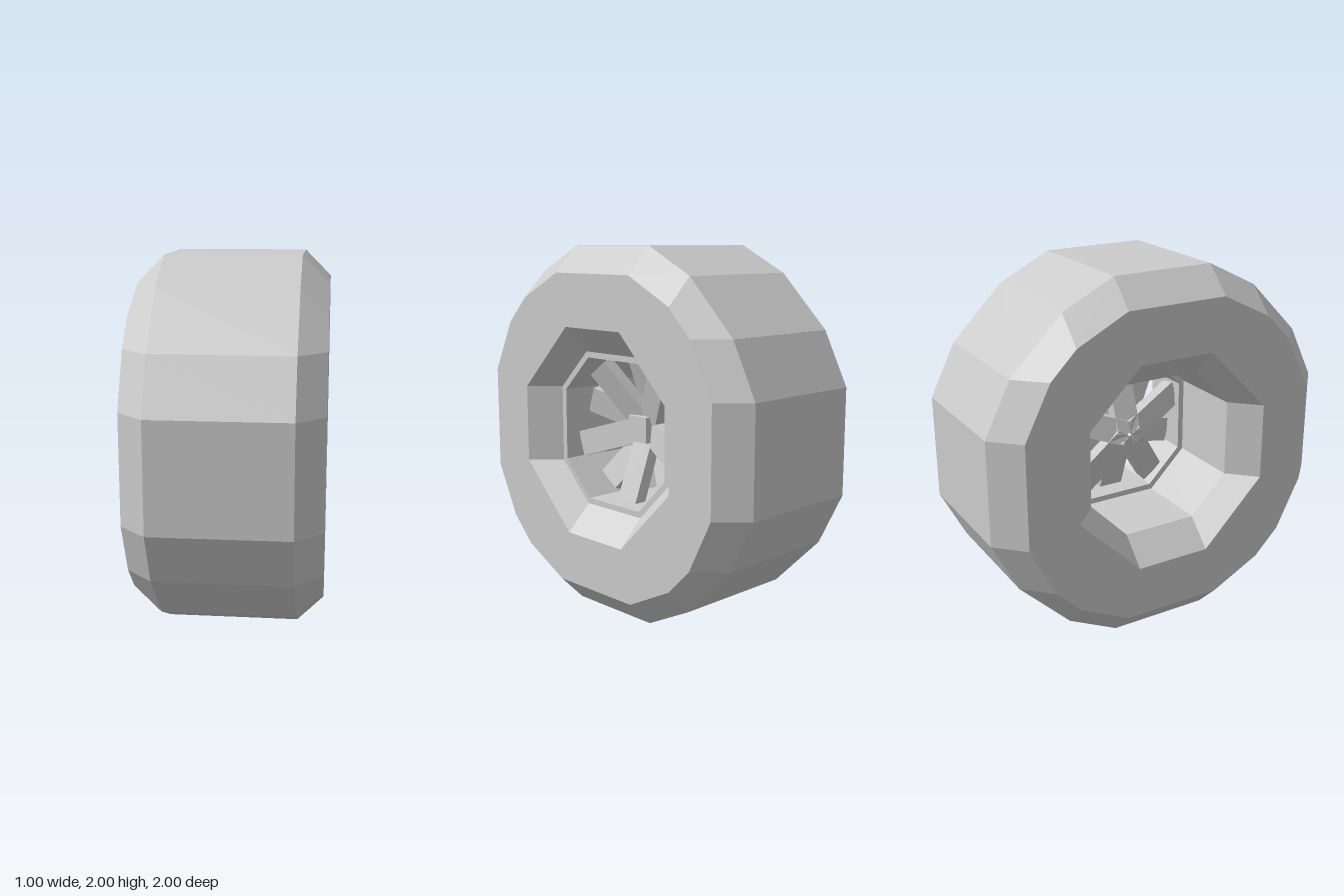
import * as THREE from 'three';

const material = new THREE.MeshStandardMaterial({ color: 0xcccccc, flatShading: true });

// Mirror one quadrant of points into a full counter-clockwise outline
function outline(quadrant) {
  const back = [...quadrant].reverse();
  return [
    ...quadrant,
    ...back.map(([x, y]) => [-x, y]),
    ...quadrant.map(([x, y]) => [-x, -y]),
    ...back.map(([x, y]) => [x, -y]),
  ];
}

// Skin successive outlines; each ring is [outline, z]
function loft(rings) {
  const positions = [];
  for (let r = 0; r < rings.length - 1; r++) {
    const [a, za] = rings[r];
    const [b, zb] = rings[r + 1];
    for (let i = 0; i < a.length; i++) {
      const j = (i + 1) % a.length;
      const a0 = [...a[i], za], a1 = [...a[j], za];
      const b0 = [...b[i], zb], b1 = [...b[j], zb];
      positions.push(...a0, ...a1, ...b1, ...a0, ...b1, ...b0);
    }
  }
  const geometry = new THREE.BufferGeometry();
  geometry.setAttribute('position', new THREE.Float32BufferAttribute(positions, 3));
  geometry.computeVertexNormals();
  return geometry;
}

function addMesh(parent, name, geometry) {
  const mesh = new THREE.Mesh(geometry, material);
  mesh.name = name;
  parent.add(mesh);
  return mesh;
}

export function createModel() {
  const model = new THREE.Group();
  model.name = 'wheel';

  // Built around the z axis, then turned so the axle lies along x
  const wheel = new THREE.Group();
  wheel.name = 'wheelAssembly';
  wheel.rotation.y = Math.PI / 2;
  wheel.position.y = 1;
  model.add(wheel);

  const tread = outline([[1, 0.286], [0.857, 0.571], [0.571, 0.857], [0.286, 1]]);
  const side = outline([[0.857, 0.286], [0.714, 0.571], [0.571, 0.714], [0.286, 0.857]]);
  const opening = outline([[0.571, 0.214], [0.214, 0.571]]);
  const bore = outline([[0.429, 0.214], [0.214, 0.429]]);
  const rimInner = outline([[0.397, 0.2], [0.2, 0.397]]);
  const half = 0.5, shoulder = 0.357;

  // Tyre: chamfered tread and the bore through it
  addMesh(wheel, 'tread', loft([[side, -half], [tread, -shoulder], [tread, shoulder], [side, half]]));
  addMesh(wheel, 'tyreBore', loft([[opening, half], [bore, shoulder], [bore, -shoulder], [opening, -half]]));

  // Flat sidewalls with an octagonal opening
  const toVectors = (points) => points.map(([x, y]) => new THREE.Vector2(x, y));
  const wallShape = new THREE.Shape(toVectors(side));
  wallShape.holes.push(new THREE.Path(toVectors(opening)));
  for (const s of [1, -1]) {
    const wall = addMesh(wheel, s > 0 ? 'outerSidewall' : 'innerSidewall', new THREE.ShapeGeometry(wallShape));
    wall.position.z = s * half;
    if (s < 0) wall.rotation.y = Math.PI;
  }

  // Rim ring lining the outer half of the bore
  addMesh(wheel, 'rim', loft([[bore, shoulder], [rimInner, shoulder], [rimInner, 0.07], [bore, 0.07]]));

  // Hub block
  addMesh(wheel, 'hub', new THREE.BoxGeometry(0.143, 0.143, 0.143)).position.z = 0.108;

  // Two layers of five dished spokes, offset by half a step
  const spokeLength = 0.44;
  const spokeGeometry = new THREE.BoxGeometry(0.143, spokeLength, 0.07).translate(0, spokeLength / 2, 0);
  for (let i = 0; i < 10; i++) {
    const front = i % 2 === 1;
    const spoke = new THREE.Group();
    spoke.name = front ? 'frontSpoke' : 'backSpoke';
    spoke.position.z = front ? 0.077 : 0;
    spoke.rotation.z = (i * Math.PI) / 5;
    addMesh(spoke, 'spokeBar', spokeGeometry).rotation.x = 0.355;
    wheel.add(spoke);
  }

  return model;
}
